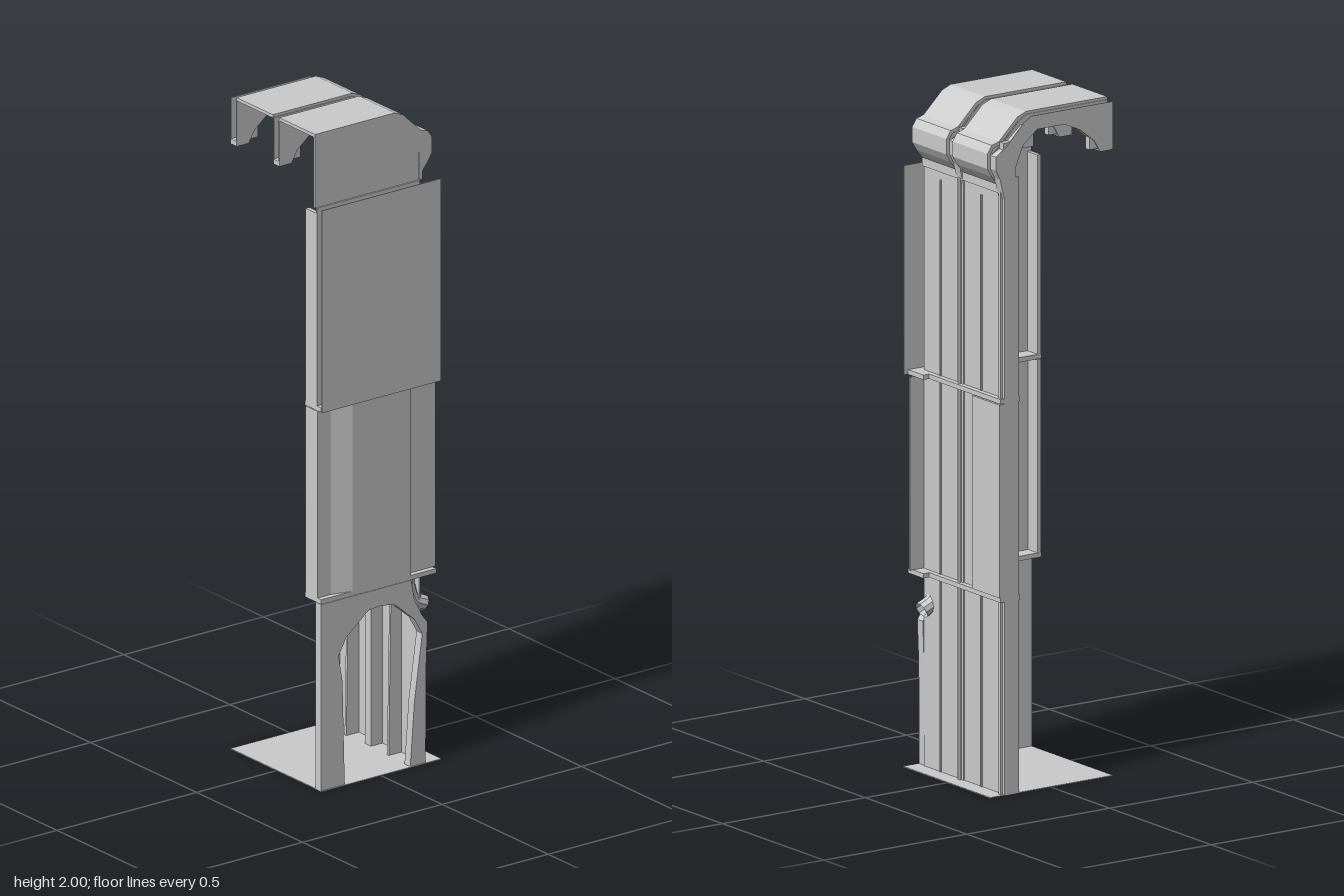
import * as THREE from 'three';

export function createModel() {
  const model = new THREE.Group();
  const mat = new THREE.MeshStandardMaterial({ color: 0xcccccc, flatShading: true, side: THREE.DoubleSide });

  const add = (name, geometry) => {
    const mesh = new THREE.Mesh(geometry, mat);
    mesh.name = name;
    model.add(mesh);
    return mesh;
  };
  // Box given by its limits on each axis
  const box = (name, x0, x1, y0, y1, z0, z1) =>
    add(name, new THREE.BoxGeometry(x1 - x0, y1 - y0, z1 - z0)
      .translate((x0 + x1) / 2, (y0 + y1) / 2, (z0 + z1) / 2));
  const shapeOf = (pts) => new THREE.Shape(pts.map(([a, b]) => new THREE.Vector2(a, b)));
  // (z, y) outline swept along x
  const sweepX = (name, pts, x0, x1) =>
    add(name, new THREE.ExtrudeGeometry(shapeOf(pts), { depth: x1 - x0, bevelEnabled: false })
      .rotateY(-Math.PI / 2).translate(x1, 0, 0));
  // (x, z) outline swept along y
  const sweepY = (name, pts, y0, y1) =>
    add(name, new THREE.ExtrudeGeometry(shapeOf(pts.map(([x, z]) => [x, -z])), { depth: y1 - y0, bevelEnabled: false })
      .rotateX(-Math.PI / 2).translate(0, y0, 0));

  // Ground plate
  box('basePlate', -0.215, 0.215, 0, 0.003, -0.215, 0.215);

  // Rear wall with main ribs and tapering fins on its inner side
  box('rearWall', -0.2, 0.185, 0.003, 1.86, -0.163, -0.156);
  for (const x of [-0.201, 0]) {
    box('wallRib', x - 0.014, x + 0.014, 0.003, 1.82, -0.166, -0.115);
    box('ribSeam', x - 0.005, x + 0.005, 0.003, 1.78, -0.172, -0.166);
  }
  for (const x of [-0.1, 0.1]) {
    sweepX('wallFin', [[-0.156, 0.003], [-0.11, 0.003], [-0.125, 0.9], [-0.135, 1.33], [-0.156, 1.33]], x - 0.004, x + 0.004);
    box('finSeam', x - 0.003, x + 0.003, 0.003, 1.75, -0.167, -0.163);
  }

  // Ledges between the storeys, along the rear wall and the side
  for (const y of [0.572, 1.158]) {
    box('rearLedge', -0.215, 0.21, y, y + 0.014, -0.18, -0.11);
    box('sideLedge', 0.135, 0.21, y, y + 0.014, -0.2, 0.213);
  }

  // Lower side wall with its arched opening, cut back around the spout
  sweepX('archedSide', [
    [0.215, 0.003], [0.215, 0.572], [-0.108, 0.572], [-0.12, 0.51], [-0.145, 0.46], [-0.167, 0.43],
    [-0.162, 0.3], [-0.16, 0.003], [-0.105, 0.003], [-0.12, 0.2], [-0.148, 0.4], [-0.12, 0.45],
    [-0.05, 0.51], [0, 0.52], [0.045, 0.515], [0.125, 0.45], [0.152, 0.4], [0.138, 0.32], [0.13, 0.003],
  ], 0.185, 0.212);

  // Middle side: bay with slanted front and a groove near the rear
  sweepY('middleSide', [
    [0.182, 0.213], [0.193, 0.213], [0.193, 0.165], [0.21, 0.1], [0.21, -0.108],
    [0.193, -0.115], [0.193, -0.21], [0.187, -0.21], [0.187, -0.12], [0.182, -0.11],
  ], 0.586, 1.156);
  box('middleFrontTrim', 0.137, 0.19, 0.586, 1.156, 0.2, 0.213);
  box('middleRearPanel', -0.215, -0.08, 0.586, 1.156, -0.183, -0.166);

  // Upper storey: inner wall with front trim, and a thin cladding sheet outside it
  box('upperInnerWall', 0.185, 0.19, 1.172, 1.776, -0.156, 0.213);
  box('upperFrontTrim', 0.137, 0.19, 1.172, 1.76, 0.2, 0.213);
  box('upperCladding', 0.212, 0.215, 1.158, 1.776, -0.213, 0.213);

  // Roof: sheet rolled over the rear edge, in two bays
  const outer = [[0.215, 2], [-0.07, 2], [-0.1, 1.988], [-0.165, 1.925], [-0.19, 1.918],
    [-0.205, 1.895], [-0.205, 1.85], [-0.19, 1.825], [-0.17, 1.8], [-0.17, 1.775]];
  const inner = [[-0.16, 1.775], [-0.16, 1.806], [-0.182, 1.835], [-0.195, 1.855], [-0.195, 1.89],
    [-0.184, 1.908], [-0.16, 1.915], [-0.095, 1.978], [-0.068, 1.99], [0.215, 1.99]];
  for (const [x0, x1] of [[-0.187, -0.015], [0.015, 0.183]]) {
    sweepX('roofSheet', [...outer, ...inner], x0, x1);
  }
  sweepX('roofEndWall', [...outer, [0.215, 1.775]], 0.176, 0.184);

  // Arched roof ribs: sunken channel floor between two side webs that hang down at the front
  const underside = [[0.17, 1.85], [0.15, 1.885], [0.1, 1.925], [0.045, 1.95], [-0.05, 1.95],
    [-0.1, 1.91], [-0.125, 1.85], [-0.125, 1.76]];
  const web = [[-0.166, 1.76], [-0.18, 1.82], [-0.195, 1.85], [-0.195, 1.89], [-0.16, 1.912],
    [-0.095, 1.978], [-0.07, 1.992], [0.214, 1.992], [0.214, 1.85], ...underside];
  const floor = [[-0.166, 1.76], [-0.18, 1.82], [-0.195, 1.85], [-0.195, 1.89], [-0.155, 1.91],
    [-0.09, 1.965], [0.045, 1.965], [0.1, 1.94], [0.15, 1.9], [0.17, 1.87], [0.214, 1.865], [0.214, 1.85], ...underside];
  for (const x of [-0.201, 0]) {
    for (const side of [-1, 1]) {
      const cx = x + side * 0.0125;
      sweepX('ribWeb', web, cx - 0.0015, cx + 0.0015);
    }
    sweepX('ribChannel', floor, x - 0.012, x + 0.012);
    box('frontPad', x - 0.01, x + 0.01, 1.86, 1.94, 0.135, 0.165);
    box('rearPad', x - 0.01, x + 0.01, 1.88, 1.925, -0.165, -0.138);
  }
  // Slim rails joining the roof ribs
  for (const z of [-0.09, 0.09]) box('roofRail', -0.2, 0.18, 1.935, 1.95, z - 0.008, z + 0.008);

  // Drain spout bending out through the rear
  const path = new THREE.CatmullRomCurve3([[0.572, -0.13], [0.53, -0.132], [0.49, -0.15], [0.47, -0.188]]
    .map(([y, z]) => new THREE.Vector3(0.162, y, z)));
  add('drainSpout', new THREE.TubeGeometry(path, 12, 0.025, 10));

  return model;
}
